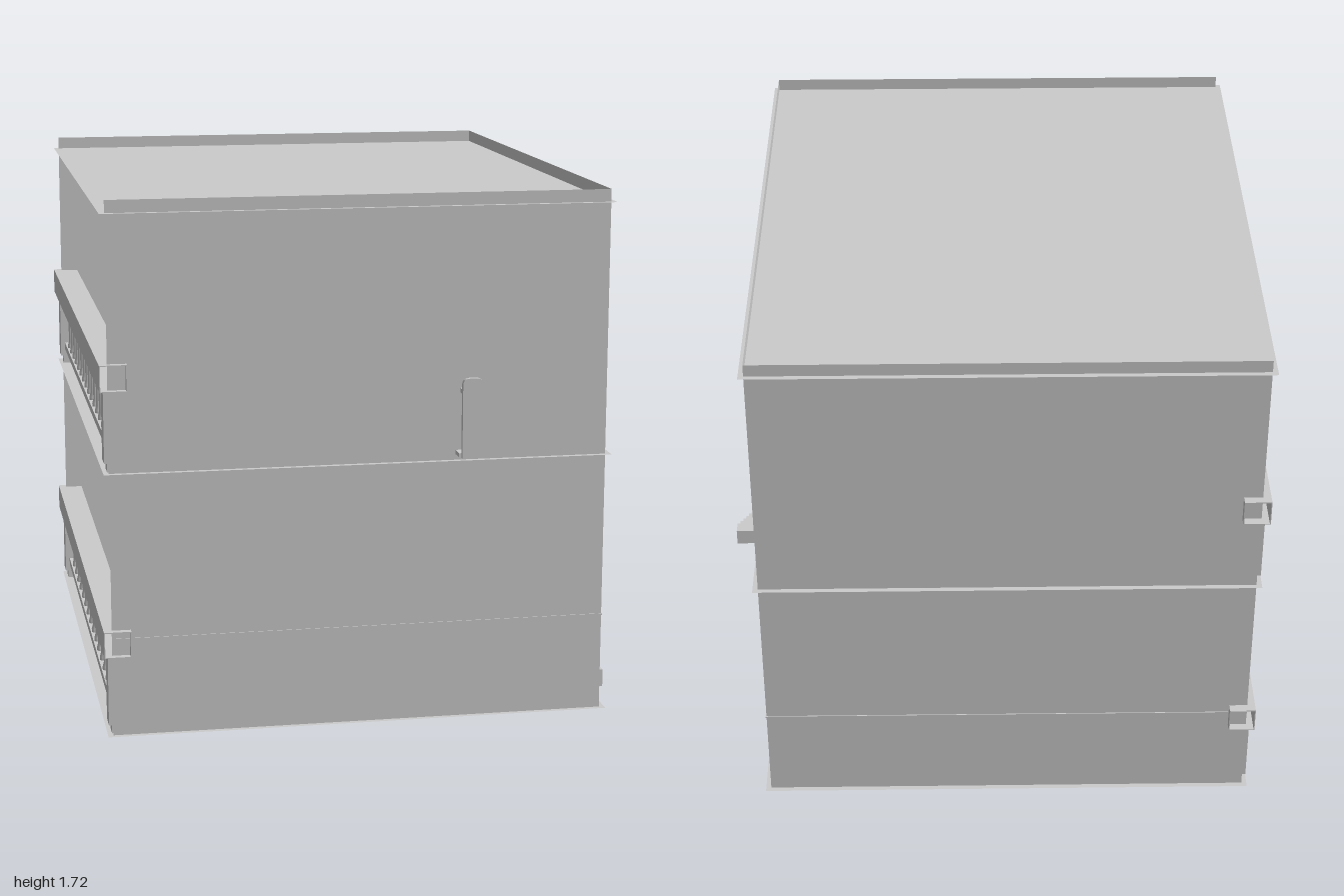
import * as THREE from 'three';

const mat = new THREE.MeshStandardMaterial({ color: 0xcccccc, side: THREE.DoubleSide });

// wall outline and storey levels
const X0 = -0.827, X1 = 0.763, Z0 = -0.97, Z1 = 0.935;
const BASE = 0.02, STOREY = 0.85, ROOF = 1.68, TOP = 1.72;

function add(parent, name, geometry, x = 0, y = 0, z = 0) {
  const mesh = new THREE.Mesh(geometry, mat);
  mesh.name = name;
  mesh.position.set(x, y, z);
  parent.add(mesh);
  return mesh;
}

// box given by its minimum and maximum corners
function box(parent, name, x0, x1, y0, y1, z0, z1) {
  return add(parent, name, new THREE.BoxGeometry(x1 - x0, y1 - y0, z1 - z0),
    (x0 + x1) / 2, (y0 + y1) / 2, (z0 + z1) / 2);
}

const polygon = (points) => new THREE.Shape(points.map(([x, y]) => new THREE.Vector2(x, y)));

// thin horizontal sheet reaching slightly past the walls
function sheet(parent, name, y, lip) {
  const w = X1 - X0 + 2 * lip, d = Z1 - Z0 + 2 * lip;
  const geo = new THREE.PlaneGeometry(w, d).rotateX(-Math.PI / 2);
  return add(parent, name, geo, (X0 + X1) / 2, y, (Z0 + Z1) / 2);
}

function buildShell() {
  const shell = new THREE.Group();
  shell.name = 'building';
  for (const [name, z] of [['frontWall', Z1], ['backWall', Z0]]) {
    add(shell, name, new THREE.PlaneGeometry(X1 - X0, TOP - BASE), (X0 + X1) / 2, (TOP + BASE) / 2, z);
  }
  // side wall with a doorway, drawn in (-z, y)
  const side = polygon([
    [-Z1, BASE], [0.53, BASE], [0.53, 0.527], [0.84, 0.527], [0.84, BASE],
    [-Z0, BASE], [-Z0, TOP], [-Z1, TOP],
  ]);
  add(shell, 'doorWall', new THREE.ShapeGeometry(side).rotateY(Math.PI / 2), X1);

  sheet(shell, 'groundFloor', BASE, 0.017);
  sheet(shell, 'upperFloor', BASE + STOREY, 0.017);
  sheet(shell, 'roof', ROOF, 0.017);

  // fine band around the three walls
  const y = 0.335, t = 0.003;
  box(shell, 'frontBand', X0, X1 + t, y - t, y + t, Z1, Z1 + t);
  box(shell, 'backBand', X0, X1 + t, y - t, y + t, Z0 - t, Z0);
  box(shell, 'sideBandFront', X1, X1 + t, y - t, y + t, -0.53, Z1);
  box(shell, 'sideBandBack', X1, X1 + t, y - t, y + t, Z0, -0.84);
  return shell;
}

// outside stair: treads and risers running through the side wall
function buildStairs() {
  const stairs = new THREE.Group();
  stairs.name = 'stairs';
  const n = 15, rise = 0.87 / n, run = 0.0925, t = 0.012;
  for (let i = 0; i < n; i++) {
    const z = 0.677 - run * i, y = rise * (i + 1);
    const back = i === n - 1 ? -0.66 : z - run - t;
    box(stairs, 'riser', 0.3, 0.852, y - rise, y, z - t, z);
    box(stairs, 'tread', 0.3, 0.852, y - t, y, back, z);
  }
  box(stairs, 'topLip', 0.3, 0.852, 0.82, 0.87, -0.66, -0.645);
  return stairs;
}

// railing across the open side of one storey
function buildRailing(y) {
  const railing = new THREE.Group();
  railing.name = 'railing';
  railing.position.y = y;
  const a = -0.853, b = -0.767, lo = 0.28, hi = 0.365, z0 = -0.998, z1 = 0.957, t = 0.003;

  // hollow square handrail, open at both ends
  box(railing, 'handrailTop', a, b, hi - t, hi, z0, z1);
  box(railing, 'handrailBottom', a, b, lo, lo + t, z0, z1);
  box(railing, 'handrailOuter', a, a + t, lo, hi, z0, z1);
  box(railing, 'handrailInner', b - t, b, lo, hi, z0, z1);
  box(railing, 'bottomRail', -0.825, -0.795, 0.075, 0.1, Z0 + 0.01, Z1 - 0.01);

  // turned balusters
  const profile = [[0.012, 0.1], [0.012, 0.11], [0.008, 0.125], [0.008, 0.255], [0.012, 0.27], [0.012, 0.28]];
  const baluster = new THREE.LatheGeometry(profile.map(([r, h]) => new THREE.Vector2(r, h)), 10);
  for (let i = 0; i < 16; i++) add(railing, 'baluster', baluster, -0.81, 0, -0.775 + i * 0.107);

  // end posts on small feet
  for (const z of [-0.925, 0.89]) {
    box(railing, 'endPost', -0.84, -0.78, 0.05, lo, z - 0.035, z + 0.035);
    box(railing, 'postFoot', -0.83, -0.79, BASE, 0.05, z - 0.025, z + 0.025);
  }
  return railing;
}

// upright pull handle standing off the front wall
function buildHandle() {
  const handle = new THREE.Group();
  handle.name = 'handle';
  const r = 0.022, w = 0.033, h = 0.255;
  const s = new THREE.Shape();
  s.moveTo(-w, 0);
  s.lineTo(w, 0);
  s.lineTo(w, h - r);
  s.quadraticCurveTo(w, h, w - r, h);
  s.lineTo(r - w, h);
  s.quadraticCurveTo(-w, h, -w, h - r);
  add(handle, 'handlePlate', new THREE.ExtrudeGeometry(s, { depth: 0.016, bevelEnabled: false, curveSegments: 6 }),
    0.312, 0.888, 0.982);
  box(handle, 'upperBracket', 0.285, 0.34, 1.088, 1.102, Z1, 0.984);
  box(handle, 'lowerBracket', 0.272, 0.34, 0.888, 0.902, Z1, 0.984);
  return handle;
}

export function createModel() {
  const model = new THREE.Group();
  model.name = 'house';
  model.add(buildShell(), buildStairs(), buildRailing(0), buildRailing(STOREY), buildHandle());
  return model;
}
